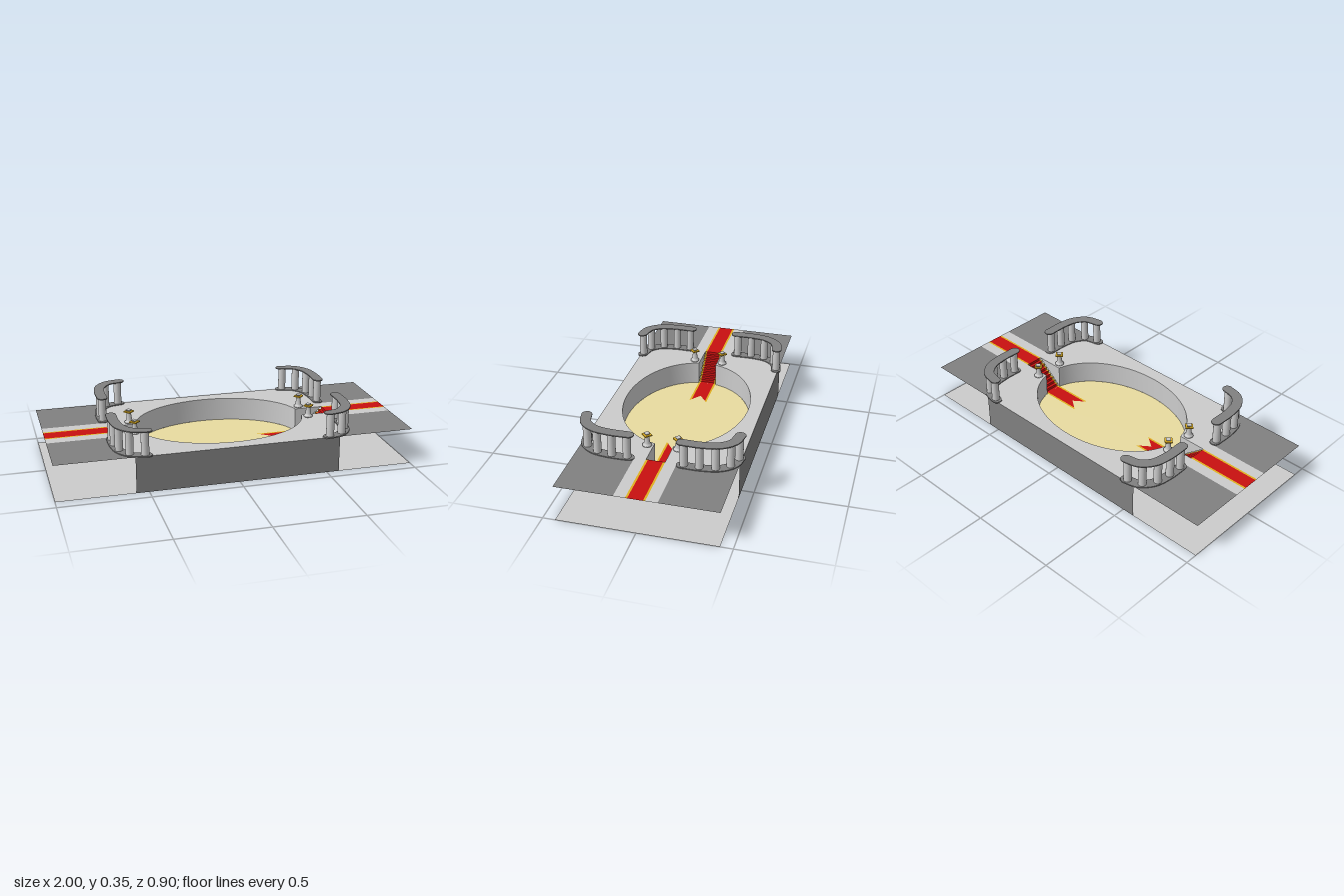
import * as THREE from 'three';

const mat = (color) => new THREE.MeshStandardMaterial({ color, side: THREE.DoubleSide });
const GREY = mat(0xcccccc), DARK = mat(0x808080), RED = mat(0xc81010),
  GOLD = mat(0xe0b020), SAND = mat(0xe8dba0);

const DECK = 0.205, PIT = 0.07, HALF_Z = 0.432;
const RX = 0.483, RZ = 0.356;          // pit radii
const CARPET = 0.052, RED_HALF = 0.041; // carpet half widths
const STAIR_OUT = 0.64, STAIR_IN = RX * Math.sqrt(1 - (CARPET / RZ) ** 2);
const AISLE = 0.115;

export function createModel() {
  const root = new THREE.Group();

  const add = (name, geo, material, parent = root) => {
    const m = new THREE.Mesh(geo, material);
    m.name = name;
    parent.add(m);
    return m;
  };

  // Shape from [x, z] pairs, to be laid flat
  const plan = (pts) => new THREE.Shape(pts.map(([x, z]) => new THREE.Vector2(x, -z)));
  const sheet = (pts, y) =>
    new THREE.ShapeGeometry(plan(pts)).rotateX(-Math.PI / 2).translate(0, y, 0);
  const slab = (pts, y, h) =>
    new THREE.ExtrudeGeometry(plan(pts), { depth: h, bevelEnabled: false })
      .rotateX(-Math.PI / 2).translate(0, y, 0);

  // Surface swept from a polyline along an offset
  const ribbon = (pts, off, smooth = false) => {
    const pos = [], idx = [];
    pts.forEach((p, i) => {
      pos.push(...p, p[0] + off[0], p[1] + off[1], p[2] + off[2]);
      if (i) {
        const a = 2 * i - 2;
        idx.push(a, a + 1, a + 2, a + 1, a + 3, a + 2);
      }
    });
    let g = new THREE.BufferGeometry();
    g.setAttribute('position', new THREE.Float32BufferAttribute(pos, 3));
    g.setIndex(idx);
    if (!smooth) g = g.toNonIndexed();
    g.computeVertexNormals();
    return g;
  };

  // Centre line of one balustrade, also the border of the dark corners
  const curve = new THREE.CatmullRomCurve3([
    [0.648, 0.142], [0.648, 0.25], [0.63, 0.34], [0.58, 0.4], [0.505, 0.42],
  ].map(([x, z]) => new THREE.Vector3(x, 0, z)));
  const line = curve.getSpacedPoints(24).map((p) => [p.x, p.z]);

  // Rounded-end band around the centre line
  const band = (r) => {
    const n = line.length - 1, left = [], right = [], capA = [], capB = [];
    const dir = (i) => {
      const t = curve.getTangentAt(i / n);
      return Math.atan2(t.z, t.x);
    };
    const at = (i, a) => [line[i][0] + r * Math.cos(a), line[i][1] + r * Math.sin(a)];
    for (let i = 0; i <= n; i++) {
      left.push(at(i, dir(i) + Math.PI / 2));
      right.unshift(at(i, dir(i) - Math.PI / 2));
    }
    for (let k = 1; k < 8; k++) {
      capB.push(at(n, dir(n) + Math.PI / 2 - (k * Math.PI) / 8));
      capA.push(at(0, dir(0) - Math.PI / 2 - (k * Math.PI) / 8));
    }
    return [...left, ...capB, ...right, ...capA];
  };

  // Lower sheet and pit floor
  add('ground', new THREE.PlaneGeometry(2, 2 * HALF_Z).rotateX(-Math.PI / 2), GREY);
  add('pitFloor', new THREE.CircleGeometry(1, 72).rotateX(-Math.PI / 2)
    .scale(RX, 1, RZ).translate(0, PIT, 0), SAND);

  // Half of the pit outline, from the +x stair to the -x stair
  const a0 = Math.asin(CARPET / RZ);
  const arc = Array.from({ length: 41 }, (_, i) => {
    const a = a0 + (i / 40) * (Math.PI - 2 * a0);
    return [RX * Math.cos(a), RZ * Math.sin(a)];
  });

  for (const sz of [1, -1]) {
    const flipZ = ([x, z]) => [x, z * sz];
    const mirrorX = (pts) => pts.map(([x, z]) => [-x, z]).reverse();

    // Deck half, between carpet, pit and balustrades
    const end = [[1, CARPET], [1, AISLE], [0.648, AISLE], ...line, [0.505, HALF_Z]];
    add('deck', sheet([...end, ...mirrorX(end), ...arc.slice().reverse()].map(flipZ), DECK), GREY);

    // Pit wall and outer wall
    add('pitWall', ribbon(arc.map(([x, z]) => [x, PIT, z * sz]), [0, DECK - PIT, 0], true), GREY);
    add('outerWall', ribbon([[-0.57, 0, HALF_Z * sz], [0.57, 0, HALF_Z * sz]], [0, DECK, 0]), DARK);

    for (const sx of [1, -1]) {
      const flip = ([x, z]) => [x * sx, z * sz];

      // Dark corner of the deck
      add('cornerDeck', sheet([[1, AISLE], [0.648, AISLE], ...line, [0.505, HALF_Z],
        [1, HALF_Z]].map(flip), DECK), DARK);

      // Curved balustrade
      const rail = new THREE.Group();
      rail.name = 'balustrade';
      root.add(rail);
      const outline = band(0.029).map(flip);
      add('balustradeBase', slab(outline, DECK - 0.002, 0.007), DARK, rail);
      add('balustradeTop', slab(outline, 0.342, 0.006), DARK, rail);
      for (let i = 0; i < 5; i++) {
        const p = curve.getPointAt(0.03 + (i / 4) * 0.94);
        add('baluster', new THREE.CylinderGeometry(0.022, 0.022, 0.134, 20), GREY, rail)
          .position.set(p.x * sx, 0.276, p.z * sz);
      }

      // Small pedestal with a gilded plate beside the stair
      const post = new THREE.Group();
      post.name = 'pedestal';
      post.position.set(0.508 * sx, DECK, 0.086 * sz);
      root.add(post);
      const profile = [[0, 0], [0.026, 0], [0.026, 0.008], [0.02, 0.012], [0.017, 0.02],
        [0.012, 0.056], [0.017, 0.063], [0, 0.063]].map(([x, y]) => new THREE.Vector2(x, y));
      add('pedestalColumn', new THREE.LatheGeometry(profile, 12), GREY, post);
      add('pedestalPlate', new THREE.BoxGeometry(0.042, 0.007, 0.042).rotateY(Math.PI / 4)
        .translate(0, 0.067, 0), GOLD, post);
      add('pedestalBowl', new THREE.CylinderGeometry(0.019, 0.013, 0.008, 4)
        .translate(0, 0.074, 0), GREY, post);

      // Cheek wall above the stair side
      const cheek = new THREE.Shape([[STAIR_OUT, DECK], [STAIR_IN, DECK], [STAIR_IN, PIT]]
        .map(([x, y]) => new THREE.Vector2(x * sx, y)));
      add('stairCheek', new THREE.ShapeGeometry(cheek).translate(0, 0, CARPET * sz), GREY);
    }
  }

  // Carpets: along the aisle, down the steps and onto the pit floor
  const STEPS = 9, run = (STAIR_OUT - STAIR_IN) / STEPS, rise = (DECK - PIT) / STEPS;
  for (const sx of [1, -1]) {
    const path = [[1, DECK], [STAIR_OUT, DECK]];
    for (let i = 1; i <= STEPS; i++) {
      const x = STAIR_OUT - (i - 1) * run, y = DECK - i * rise;
      path.push([x, y], [x - run, y]);
    }
    const strip = (z0, z1) => ribbon(path.map(([x, y]) => [x * sx, y, sx > 0 ? z0 : z1]),
      [0, 0, (z1 - z0) * sx]);
    add('carpet', strip(-RED_HALF, RED_HALF), RED);

    // Swallow-tailed end
    const tipX = (z) => 0.245 + 0.07 * (1 - z / CARPET);
    add('carpetTail', sheet([[STAIR_IN, -RED_HALF], [STAIR_IN, RED_HALF], [tipX(RED_HALF), RED_HALF],
      [tipX(0), 0], [tipX(RED_HALF), -RED_HALF]].map(([x, z]) => [x * sx, z]), PIT + 0.002), RED);

    for (const sz of [1, -1]) {
      add('carpetBorder', sz > 0 ? strip(RED_HALF, CARPET) : strip(-CARPET, -RED_HALF), GOLD);
      add('tailBorder', sheet([[STAIR_IN, RED_HALF], [STAIR_IN, CARPET], [tipX(CARPET), CARPET],
        [tipX(RED_HALF), RED_HALF]].map(([x, z]) => [x * sx, z * sz]), PIT + 0.002), GOLD);
    }
  }

  return root;
}
